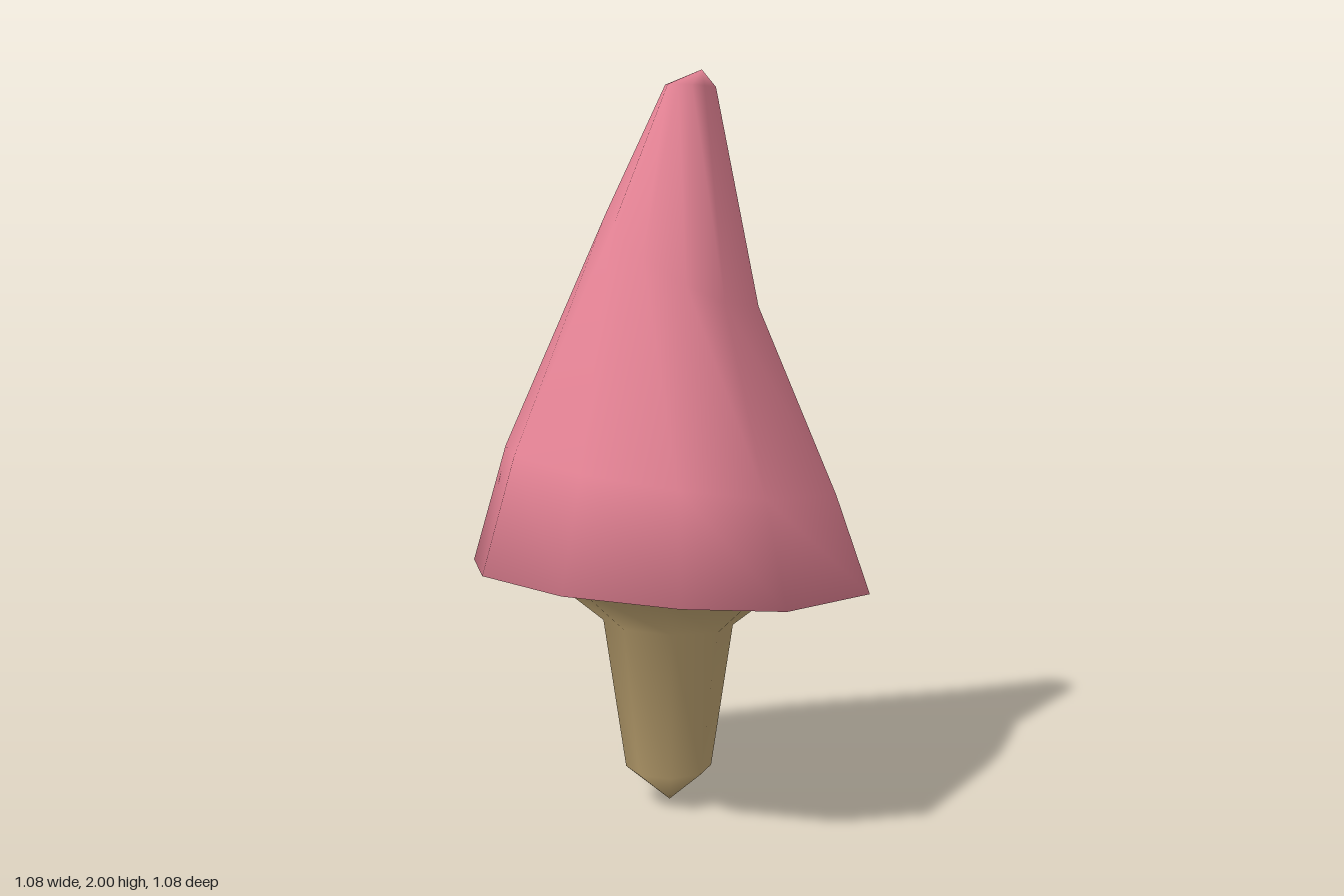
import * as THREE from 'three';

// Skins a stack of rings (bottom to top); a ring with one point closes the end as a fan.
function loft(rings, n) {
  const pos = [], idx = [], start = [];
  for (const ring of rings) {
    start.push(pos.length / 3);
    ring.forEach(p => pos.push(...p));
  }
  const at = (k, i) => start[k] + (rings[k].length === 1 ? 0 : i % n);
  for (let k = 0; k < rings.length - 1; k++) {
    for (let i = 0; i < n; i++) {
      const a = at(k, i), b = at(k, i + 1), c = at(k + 1, i), d = at(k + 1, i + 1);
      if (c !== d) idx.push(a, c, d);
      if (a !== b) idx.push(a, c === d ? c : d, b);
    }
  }
  const g = new THREE.BufferGeometry();
  g.setAttribute('position', new THREE.Float32BufferAttribute(pos, 3));
  g.setIndex(idx);
  g.computeVertexNormals();
  return g;
}

export function createModel() {
  const pink = new THREE.MeshStandardMaterial({ color: 0xe58395, side: THREE.DoubleSide });
  pink.name = 'pink foliage';
  const tan = new THREE.MeshStandardMaterial({ color: 0xc0a572, side: THREE.DoubleSide });
  tan.name = 'tan bark';

  // Uneven hem outline (x, z); higher rings are scaled, shifted and tilted copies of it
  const hem = [[0, -0.54], [0.21, -0.505], [0.42, -0.37], [0.54, 0.08], [0.27, 0.475], [0, 0.54],
    [-0.29, 0.45], [-0.5, 0.19], [-0.54, -0.12], [-0.38, -0.39], [-0.21, -0.5]];
  const ring = (s, cx, cz, y, tiltX, tiltZ) => hem.map(([hx, hz]) => {
    const x = cx + hx * s, z = cz + hz * s;
    return [x, y + tiltX * x + tiltZ * z, z];
  });

  // Leaning cone of leaves with a closed, slightly bulging underside
  const foliage = new THREE.Mesh(loft([
    [[0, 0.62, 0]],
    ring(0.6, 0, 0, 0.612, -0.074, 0.074),
    ring(1, 0, 0, 0.63, -0.074, 0.074),
    ring(0.83, 0, -0.01, 0.925, -0.14, 0.05),
    ring(0.38, 0.035, -0.04, 1.5, -0.55, -0.25),
    ring(0.125, 0.06, -0.08, 1.96, -0.05, 0),
    [[0.09, 2, -0.08]],
  ], hem.length), pink);
  foliage.name = 'foliage';

  // Tapered trunk with a pointed foot and a flare under the leaves
  const sides = 8;
  const round = (r, cx, cz, y, tilt) => Array.from({ length: sides }, (_, i) => {
    const t = i / sides * Math.PI * 2;
    const x = cx + r * Math.cos(t), z = cz + r * Math.sin(t);
    return [x, y - tilt * x + tilt * z, z];
  });
  const trunk = new THREE.Mesh(loft([
    [[0, 0, 0]],
    round(0.118, -0.003, 0.01, 0.1, 0),
    round(0.177, -0.005, 0.03, 0.51, 0.05),
    round(0.305, -0.02, 0.02, 0.605, 0.08),
  ], sides), tan);
  trunk.name = 'trunk';

  const group = new THREE.Group();
  group.name = 'tree';
  group.add(foliage, trunk);
  return group;
}
